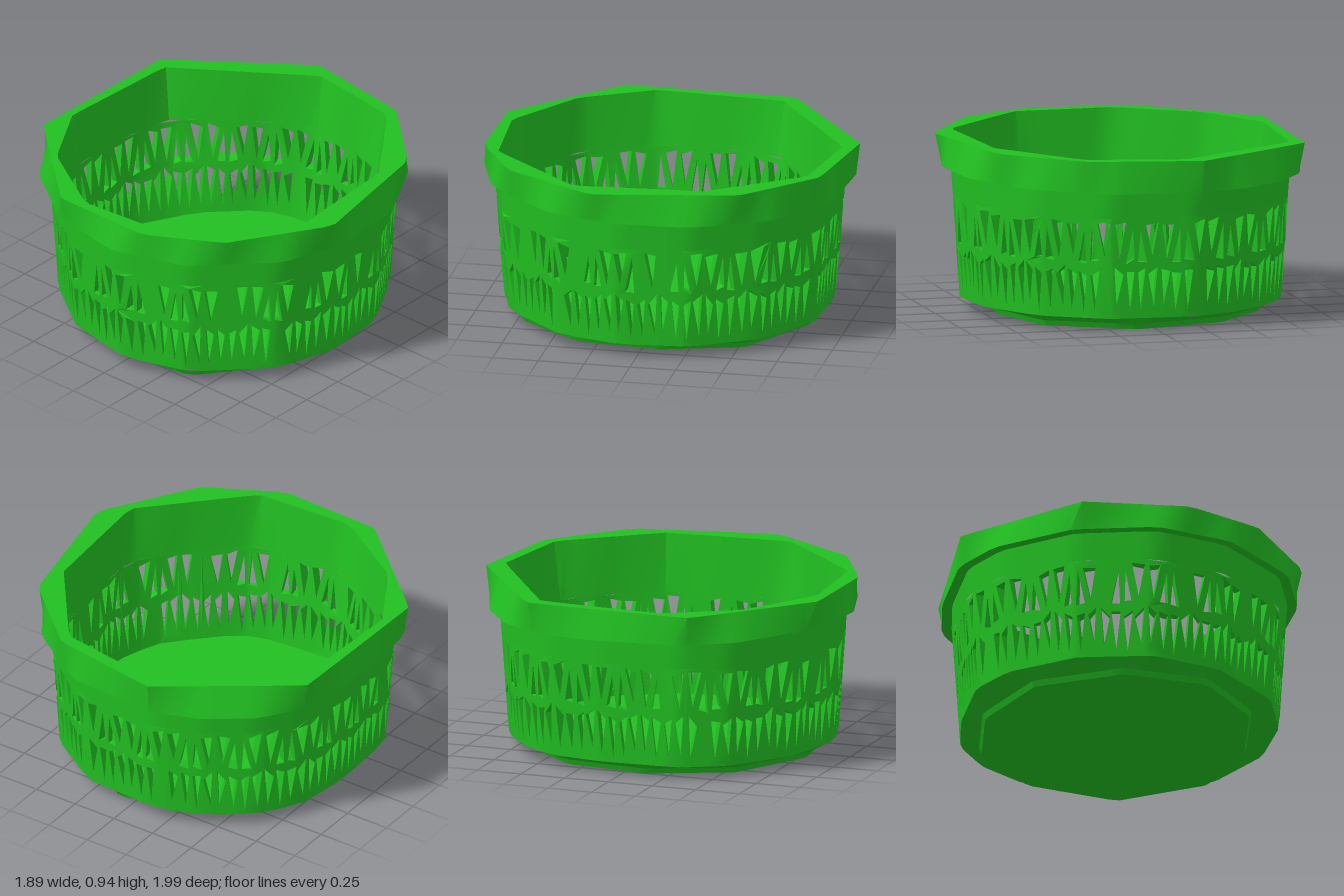
import * as THREE from 'three';
import { mergeGeometries, toCreasedNormals } from 'three/addons/utils/BufferGeometryUtils.js';

// Irregular outlines as [x, z] corners
const rimTop = [[-0.22, -1], [0.4, -0.91], [0.8, -0.55], [0.95, 0.23], [0.63, 0.74], [0.23, 0.96], [-0.35, 0.95], [-0.93, 0.43], [-0.91, -0.5]];
const rimLow = [[0.3, -0.95], [0.67, -0.71], [0.9, -0.31], [0.94, 0.1], [0.83, 0.49], [0.46, 0.87], [0.05, 1], [-0.4, 0.91], [-0.78, 0.64], [-0.93, 0.38], [-0.95, -0.1], [-0.9, -0.45], [-0.73, -0.7], [-0.48, -0.88], [-0.22, -0.98]];
const mouth = [[-0.14, -0.92], [0.4, -0.84], [0.77, -0.35], [0.82, 0.35], [0.33, 0.86], [-0.22, 0.9], [-0.66, 0.63], [-0.88, 0.25], [-0.84, -0.45]];
const floorLine = [[0.13, -0.83], [0.58, -0.57], [0.75, -0.25], [0.8, 0.2], [0.65, 0.55], [0.32, 0.8], [-0.1, 0.84], [-0.62, 0.62], [-0.8, 0.2], [-0.82, -0.17], [-0.65, -0.5], [-0.4, -0.75], [-0.22, -0.8]];
const foot = [[0.1, -0.8], [0.55, -0.53], [0.68, -0.1], [0.64, 0.36], [0.36, 0.72], [-0.1, 0.79], [-0.55, 0.56], [-0.75, 0.12], [-0.7, -0.35], [-0.4, -0.68]];

// Distance from the centre to an outline, at an angle measured from the front
function radius(outline, a) {
  const dx = Math.sin(a), dz = Math.cos(a);
  let best = 0;
  outline.forEach(([px, pz], i) => {
    const [qx, qz] = outline[(i + 1) % outline.length];
    const ex = qx - px, ez = qz - pz;
    const den = dx * ez - dz * ex;
    if (Math.abs(den) < 1e-9) return;
    const r = (px * ez - pz * ex) / den;
    const t = (px * dz - pz * dx) / den;
    if (r > 0 && t >= -1e-6 && t <= 1 + 1e-6) best = Math.max(best, r);
  });
  return best;
}

const CELLS = 44, SEGMENTS = CELLS * 2, Y0 = 0.07, Y1 = 0.62;
const outerR = (a, y) => radius(rimLow, a) * THREE.MathUtils.lerp(0.895, 0.945, (y - Y0) / 0.7);
const innerR = (a, y) => Math.min(
  THREE.MathUtils.lerp(radius(floorLine, a), radius(mouth, a), Math.min(1, (y - Y0) / 0.83)),
  outerR(a, y) - 0.025);
const lipLow = a => 0.768 + 0.01 * Math.sin(a) + 0.013 * Math.cos(a);
const lipHigh = a => 0.93 + 0.01 * Math.sin(a);

// Closed bands through a list of rings; each ring gives [radius, height]
function bands(rings) {
  const pos = [], index = [];
  rings.forEach(ring => {
    for (let i = 0; i <= SEGMENTS; i++) {
      const a = (i % SEGMENTS) / SEGMENTS * Math.PI * 2;
      const [r, y] = ring(a);
      pos.push(Math.sin(a) * r, y, Math.cos(a) * r);
    }
  });
  const w = SEGMENTS + 1;
  for (let k = 0; k < rings.length - 1; k++) {
    for (let i = 0; i < SEGMENTS; i++) {
      const p = k * w + i;
      index.push(p, p + 1, p + w + 1, p, p + w + 1, p + w);
    }
  }
  const g = new THREE.BufferGeometry();
  g.setAttribute('position', new THREE.Float32BufferAttribute(pos, 3));
  g.setIndex(index);
  return toCreasedNormals(g.toNonIndexed(), 0.5);
}

let seed = 7;
function jitter(size) {
  seed = (seed * 16807) % 2147483647;
  return (seed / 2147483647 * 2 - 1) * size;
}

// Triangular openings of one lattice cell: [across 0..1, height]
const openings = [
  [[0.08, 0.59], [0.6, 0.59], [0.3, 0.4]],
  [[0.55, 0.38], [0.92, 0.38], [0.83, 0.56]],
  [[0.08, 0.35], [0.46, 0.31], [0.2, 0.13]],
  [[0.56, 0.33], [0.92, 0.31], [0.75, 0.11]],
];

// One cell: a flat pierced panel bent onto the wall
function latticeCell(n) {
  const step = Math.PI * 2 / CELLS, a0 = n * step, a1 = a0 + step;
  const shape = new THREE.Shape([[a0, Y0], [a1, Y0], [a1, Y1], [a0, Y1]].map(p => new THREE.Vector2(...p)));
  openings.forEach(tri => {
    const skip = jitter(1) > 0.8;
    const pts = tri.map(([u, y]) => {
      const v = u + jitter(0.035);
      return new THREE.Vector2(a0 + step * (n % 2 ? 1 - v : v), y + jitter(0.015));
    });
    if (!skip) shape.holes.push(new THREE.Path(pts));
  });
  const flat = new THREE.ExtrudeGeometry(shape, { depth: 1, bevelEnabled: false });
  const p = flat.attributes.position, pos = [];
  for (let i = 0; i < p.count; i += 3) {
    const ids = [i, i + 1, i + 2];
    // Leave out the hidden faces where panels meet
    const hidden = [[a0, 'getX'], [a1, 'getX'], [Y0, 'getY'], [Y1, 'getY']]
      .some(([v, get]) => ids.every(j => Math.abs(p[get](j) - v) < 1e-5));
    if (hidden) continue;
    ids.forEach(j => {
      const a = p.getX(j), y = p.getY(j);
      const r = p.getZ(j) > 0.5 ? outerR(a, y) : innerR(a, y);
      pos.push(Math.sin(a) * r, y, Math.cos(a) * r);
    });
  }
  const g = new THREE.BufferGeometry();
  g.setAttribute('position', new THREE.Float32BufferAttribute(pos, 3));
  return g;
}

export function createModel() {
  const group = new THREE.Group();
  const green = new THREE.MeshStandardMaterial({ color: 0x22c022 });
  green.name = 'leaf green';
  const add = (name, geometry) => {
    const mesh = new THREE.Mesh(geometry, green);
    mesh.name = name;
    group.add(mesh);
  };

  // Underside with a bevelled foot
  add('base', bands([
    () => [0, 0.005],
    a => [radius(foot, a), 0],
    a => [radius(foot, a) * 1.02, 0.03],
    a => [outerR(a, Y0), Y0],
  ]));

  // Inside floor
  add('floor', bands([a => [innerR(a, Y0), Y0], () => [0, Y0]]));

  // Pierced side wall
  const cells = Array.from({ length: CELLS }, (_, n) => latticeCell(n));
  add('latticeWall', toCreasedNormals(mergeGeometries(cells), 0.5));

  // Solid upper wall with the overhanging rim
  add('rim', bands([
    a => [outerR(a, Y1), Y1],
    a => [outerR(a, lipLow(a)), lipLow(a)],
    a => [radius(rimLow, a), lipLow(a)],
    a => [radius(rimTop, a), lipHigh(a)],
    a => [Math.min(radius(mouth, a), radius(rimTop, a) - 0.03), lipHigh(a)],
    a => [innerR(a, Y1), Y1],
  ]));

  return group;
}
